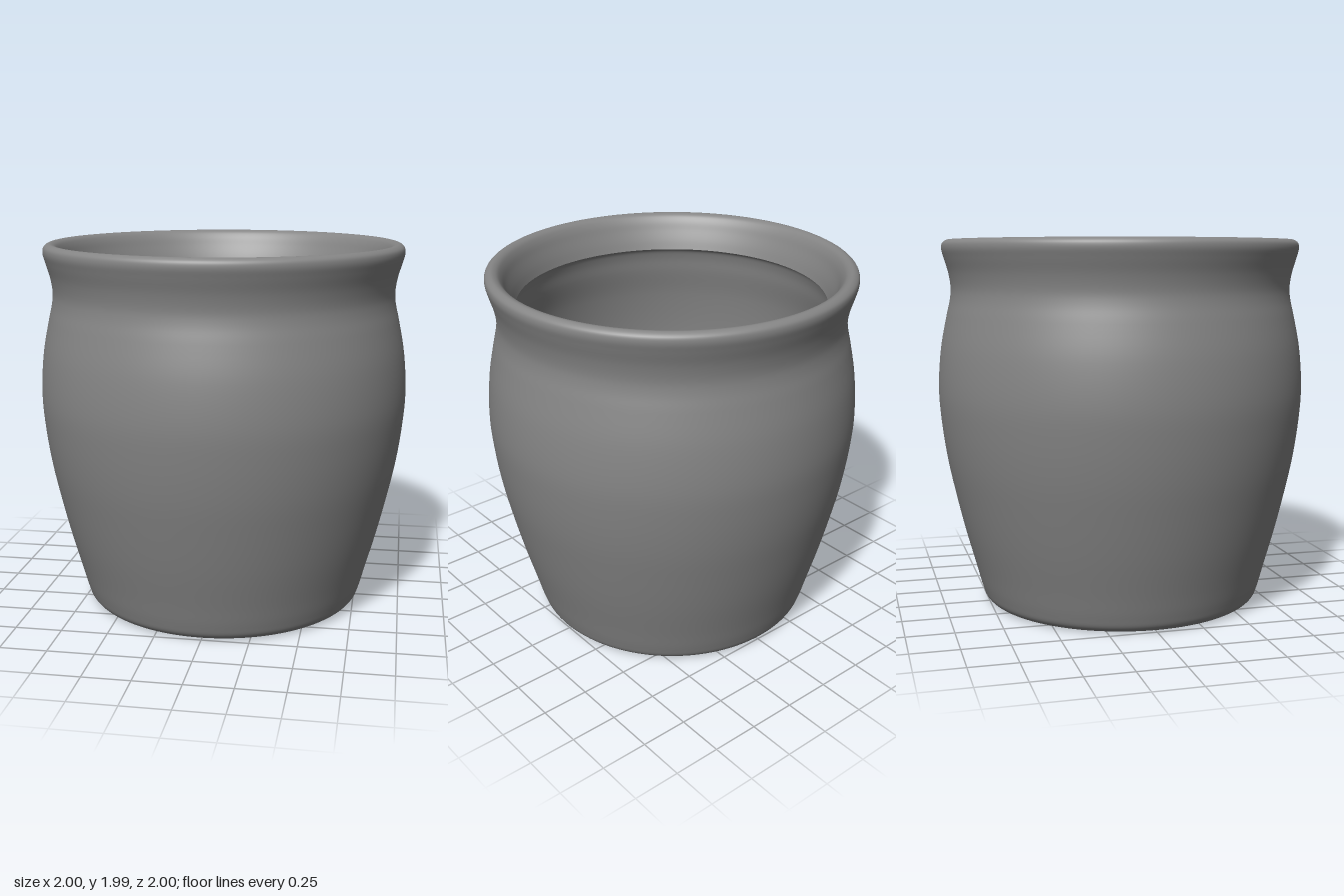
import * as THREE from 'three';

const material = new THREE.MeshStandardMaterial({ color: 0x858585 });

// Smooth surface of revolution through [radius, height] points
function turned(name, points) {
  const curve = new THREE.CatmullRomCurve3(
    points.map(([r, y]) => new THREE.Vector3(r, y, 0)), false, 'centripetal');
  const profile = curve.getPoints((points.length - 1) * 5)
    .map((p) => new THREE.Vector2(Math.max(p.x, 0), p.y));
  const mesh = new THREE.Mesh(new THREE.LatheGeometry(profile, 128), material);
  mesh.name = name;
  return mesh;
}

export function createModel() {
  const pot = new THREE.Group();
  pot.name = 'pot';

  // Base, bulging outer wall, neck and flared lip, ending at the inner throat
  pot.add(turned('outerWallAndLip', [
    [0, 0], [0.6, 0], [0.7, 0], [0.735, 0.006], [0.763, 0.03], [0.782, 0.08],
    [0.815, 0.2], [0.87, 0.4], [0.918, 0.6], [0.96, 0.8], [0.988, 1.0],
    [1.0, 1.18], [0.985, 1.4], [0.951, 1.58], [0.931, 1.67], [0.926, 1.73],
    [0.937, 1.81], [0.96, 1.89], [0.972, 1.94], [0.966, 1.97],
    [0.938, 1.987], [0.908, 1.978], [0.885, 1.95], [0.862, 1.9],
    [0.838, 1.845], [0.82, 1.795],
  ]));

  // Undercut shoulder, inside wall and flat floor with a small fillet
  pot.add(turned('innerWallAndFloor', [
    [0.82, 1.795], [0.85, 1.778], [0.867, 1.73], [0.88, 1.64], [0.91, 1.48],
    [0.932, 1.2], [0.921, 1.0], [0.893, 0.8], [0.853, 0.6], [0.808, 0.4],
    [0.772, 0.26], [0.763, 0.228], [0.75, 0.207], [0.73, 0.2], [0.6, 0.2],
    [0, 0.2],
  ]));

  return pot;
}
